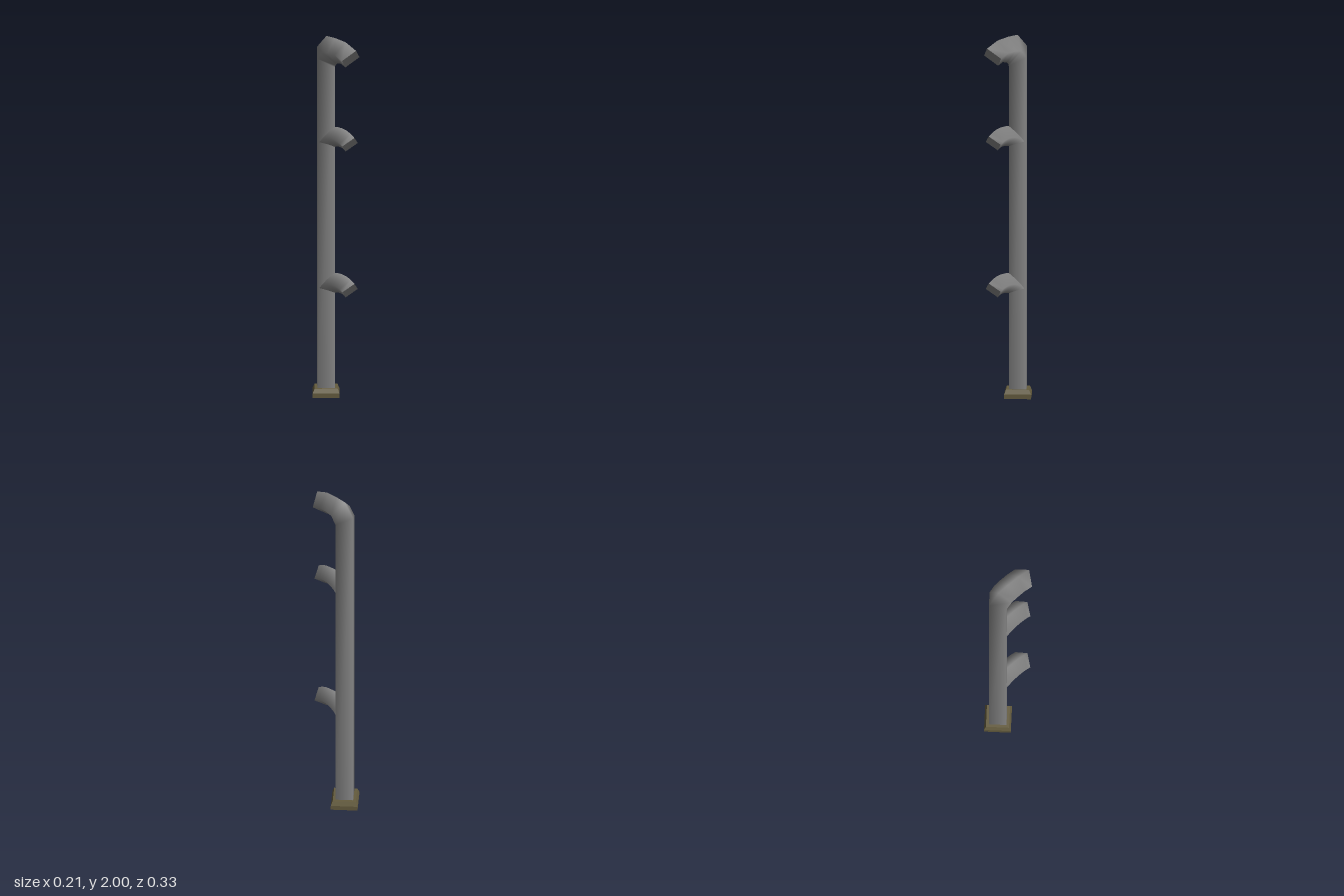
import * as THREE from 'three';

const steel = new THREE.MeshStandardMaterial({ color: 0x858585 });
steel.name = 'grey metal';
const olive = new THREE.MeshStandardMaterial({ color: 0x655c3e });
olive.name = 'olive base';

// Four-sided tube through diamond rings, each [outerZ, outerY, innerZ, innerY]
function diamondTube(rings, halfWidth) {
  const pos = [], index = [];
  for (const [oz, oy, iz, iy] of rings) {
    const mz = (oz + iz) / 2, my = (oy + iy) / 2;
    pos.push(0, iy, iz, halfWidth, my, mz, 0, oy, oz, -halfWidth, my, mz);
  }
  for (let r = 0; r < rings.length - 1; r++) {
    for (let i = 0; i < 4; i++) {
      const a = r * 4 + i, b = r * 4 + (i + 1) % 4;
      index.push(a, b, b + 4, a, b + 4, a + 4);
    }
  }
  // Flat cap on the far end, with its own corners to keep the rim sharp
  const n = pos.length / 3;
  pos.push(...pos.slice(-12));
  index.push(n, n + 1, n + 2, n, n + 2, n + 3);
  const g = new THREE.BufferGeometry();
  g.setAttribute('position', new THREE.Float32BufferAttribute(pos, 3));
  g.setIndex(index);
  g.computeVertexNormals();
  return g;
}

// Rings along a downward-curving arc centred at (z, y)
function arcRings(z, y, inner, outer, from, to, steps) {
  return Array.from({ length: steps + 1 }, (_, i) => {
    const t = from + (to - from) * i / steps, s = Math.sin(t), c = Math.cos(t);
    return [z + outer * s, y + outer * c, z + inner * s, y + inner * c];
  });
}

function add(group, name, geometry, material, y = 0, z = 0) {
  const mesh = new THREE.Mesh(geometry, material);
  mesh.name = name;
  mesh.position.set(0, y, z);
  group.add(mesh);
}

export function createModel() {
  const group = new THREE.Group();
  group.name = 'hookedPost';

  // Square post turned on its corner, bending forward at the top
  add(group, 'post', diamondTube([
    [-0.13, 0.02, 0.005, 0.02],
    [-0.13, 1.93, 0.005, 1.835],
    [-0.06, 2.0, 0.008, 1.847],
    [0.008, 1.998, 0.02, 1.858],
    [0.087, 1.987, 0.05, 1.862],
    [0.166, 1.952, 0.084, 1.847],
  ], 0.068), steel);

  // Two smaller curved hooks on the front edge
  const hook = diamondTube(arcRings(0.035, 0, 0.084, 0.192, -0.72, 0.665, 8), 0.06);
  add(group, 'lowerHook', hook, steel, 0.502);
  add(group, 'upperHook', hook, steel, 1.314);

  // Base block with a bevelled upper half
  const flat = (g) => {
    const f = g.toNonIndexed();
    f.computeVertexNormals();
    return f;
  };
  const baseZ = -0.063;
  add(group, 'baseBlock', flat(new THREE.CylinderGeometry(0.103, 0.103, 0.025, 4, 1)), olive, 0.0125, baseZ);
  add(group, 'baseBevel', flat(new THREE.CylinderGeometry(0.089, 0.103, 0.025, 4, 1)), olive, 0.0375, baseZ);
  return group;
}
